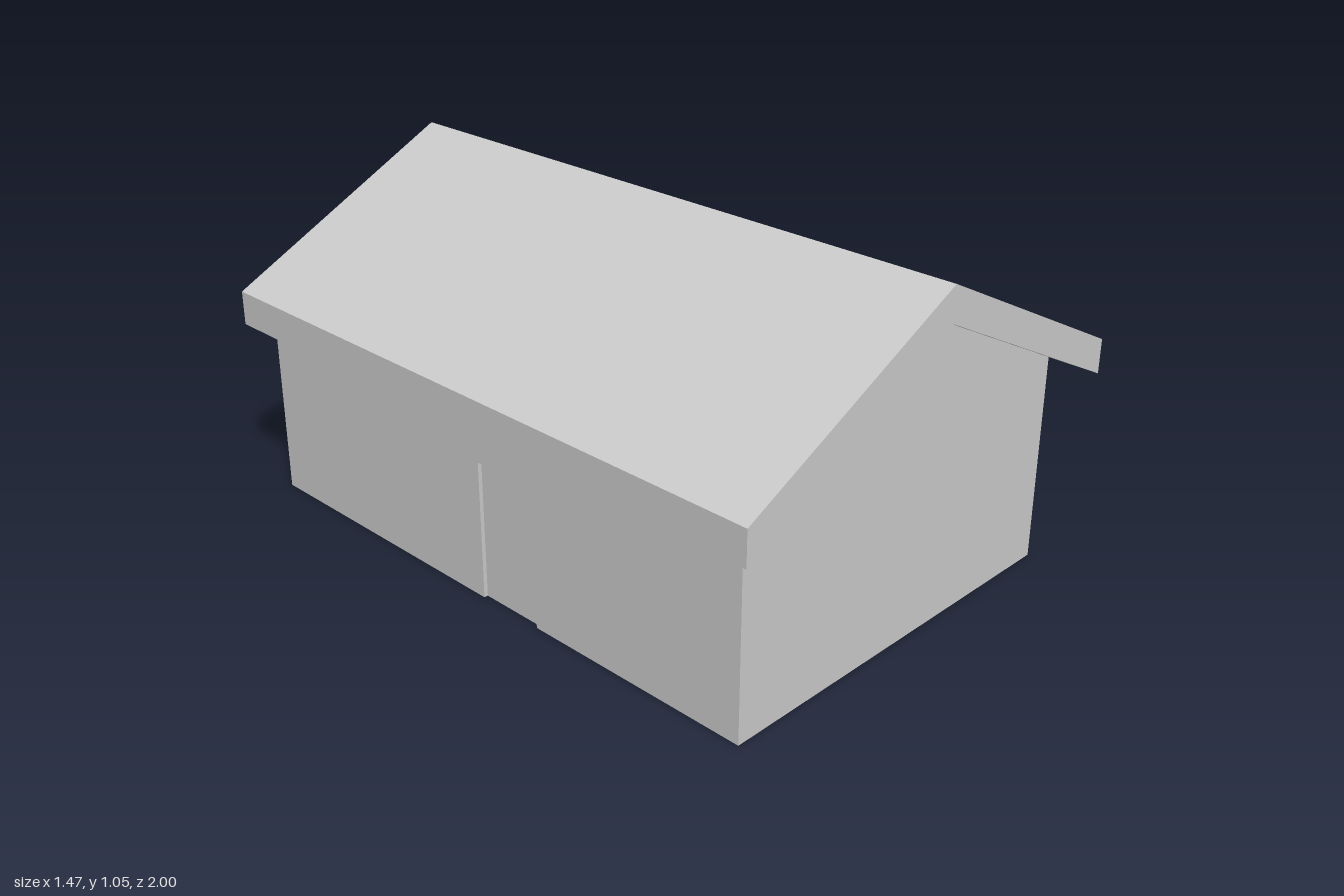
import * as THREE from 'three';

const WALL_X = 0.633, EAVE_X = 0.735, RIDGE_Y = 0.95, SLOPE = 0.5, THICK = 0.104;
const BACK = -1, FRONT = 0.9;
const DOOR = { z0: -0.055, z1: 0.165, top: 0.425, depth: 0.1 };

const underside = (x) => RIDGE_Y - SLOPE * Math.abs(x);

export function createModel() {
  const model = new THREE.Group();
  const material = new THREE.MeshStandardMaterial({ color: 0xcccccc, flatShading: true });

  // Extrudes a front-facing outline between two depths
  const prism = (name, points, z0, z1, parent = model) => {
    const shape = new THREE.Shape(points.map(([x, y]) => new THREE.Vector2(x, y)));
    const geometry = new THREE.ExtrudeGeometry(shape, { depth: z1 - z0, bevelEnabled: false });
    geometry.translate(0, 0, z0);
    const mesh = new THREE.Mesh(geometry, material);
    mesh.name = name;
    parent.add(mesh);
    return mesh;
  };

  // Gabled body, with a shallow doorway cut into the right wall
  const body = new THREE.Group();
  body.name = 'body';
  model.add(body);
  const eaveY = underside(WALL_X);
  const gable = [[WALL_X, 0], [WALL_X, eaveY], [0, RIDGE_Y], [-WALL_X, eaveY]];
  const inner = -WALL_X + DOOR.depth;
  const solid = [[-WALL_X, 0], ...gable];
  const notched = [[inner, 0], ...gable, [-WALL_X, DOOR.top], [inner, DOOR.top]];
  prism('backBody', solid, BACK, DOOR.z0, body);
  prism('doorwayBody', notched, DOOR.z0, DOOR.z1, body);
  prism('frontBody', solid, DOOR.z1, FRONT, body);

  // Door panel set slightly back in the doorway
  const x0 = -WALL_X + 0.012, x1 = inner - 0.02;
  prism('door', [[x0, 0], [x1, 0], [x1, DOOR.top], [x0, DOOR.top]], DOOR.z0, DOOR.z1);

  // Roof: flush at the back, overhanging at the front and eaves
  const eave = underside(EAVE_X);
  prism('roof', [
    [0, RIDGE_Y], [EAVE_X, eave], [EAVE_X, eave + THICK],
    [0, RIDGE_Y + THICK], [-EAVE_X, eave + THICK], [-EAVE_X, eave],
  ], BACK, 1);

  return model;
}
